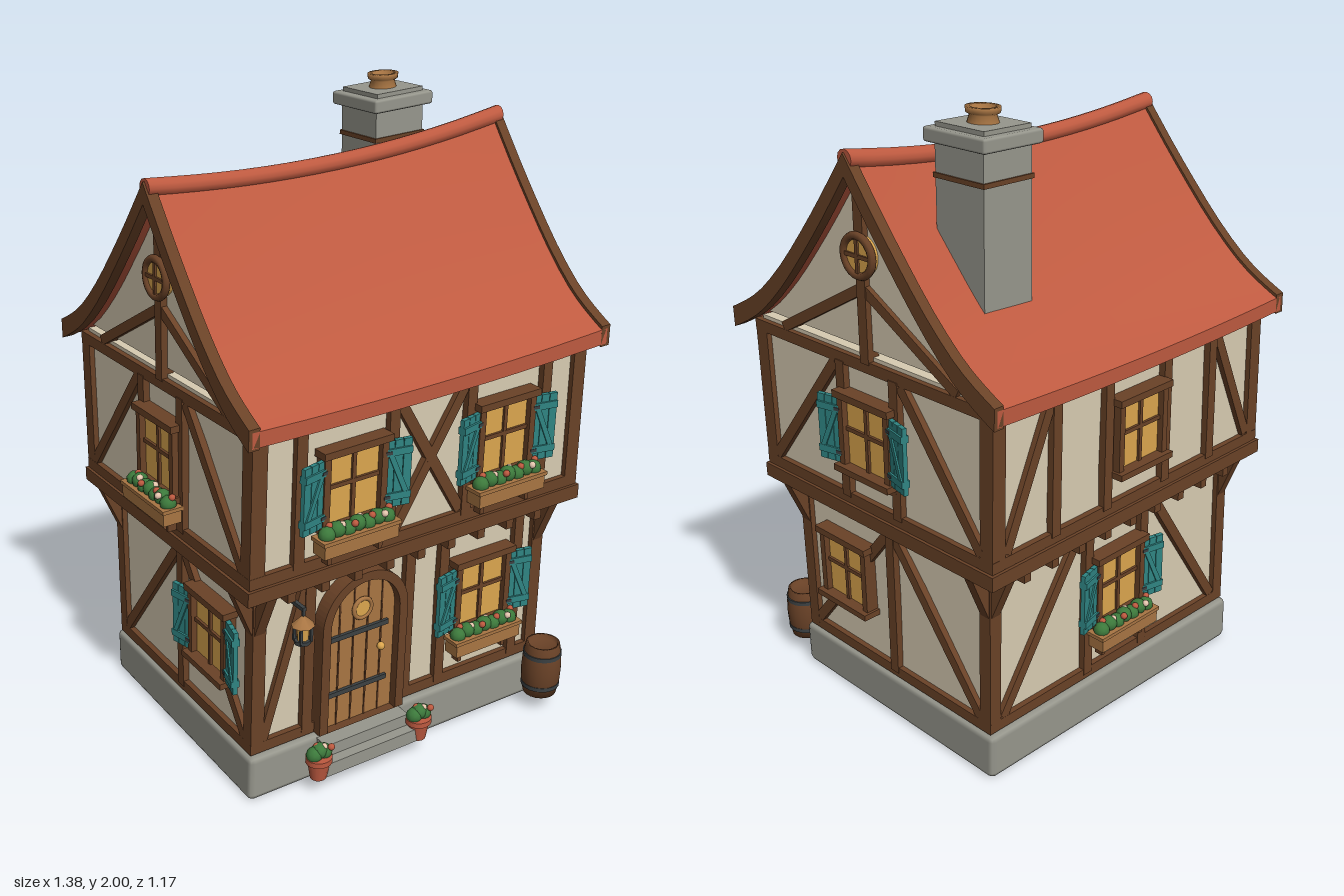
import * as THREE from 'three';
import { toCreasedNormals } from 'three/addons/utils/BufferGeometryUtils.js';
import { RoundedBoxGeometry } from 'three/addons/geometries/RoundedBoxGeometry.js';

const mat = (name, color) => Object.assign(new THREE.MeshStandardMaterial({ color }), { name });
const M = {
  plaster: mat('plaster', 0xd8ccb2), timber: mat('dark timber', 0x6a4227), roof: mat('red tile', 0xbe5a40),
  stone: mat('grey stone', 0x97978d), teal: mat('teal paint', 0x2f8583), glass: mat('warm glass', 0xdca64e),
  wood: mat('light wood', 0xa87543), leaf: mat('leaf green', 0x3d7a3c), iron: mat('iron', 0x3c4143),
  bloom: mat('cream petals', 0xe8c8b0),
};

function add(parent, name, geo, material, x = 0, y = 0, z = 0) {
  const m = new THREE.Mesh(geo, material);
  m.name = name;
  m.position.set(x, y, z);
  parent.add(m);
  return m;
}
const box = (p, name, material, w, h, d, x, y, z) => add(p, name, new THREE.BoxGeometry(w, h, d), material, x, y, z);
function group(parent, name, x = 0, y = 0, z = 0, ry = 0) {
  const g = new THREE.Group();
  g.name = name;
  g.position.set(x, y, z);
  g.rotation.y = ry;
  parent.add(g);
  return g;
}
// Timber laid on a wall between two points of the wall plane
function beam(p, x1, y1, x2, y2, w = 0.036, d = 0.04) {
  const m = box(p, 'timberBeam', M.timber, w, Math.hypot(x2 - x1, y2 - y1), d, (x1 + x2) / 2, (y1 + y2) / 2, 0);
  m.rotation.z = Math.atan2(x1 - x2, y2 - y1);
}

// Row of leaves and blossoms
function plants(p, width, n, y, z) {
  for (let i = 0; i < n; i++) {
    const x = n > 1 ? (i / (n - 1) - 0.5) * width : 0;
    add(p, 'leaves', new THREE.IcosahedronGeometry(0.026, 1), M.leaf, x, y + (i % 2) * 0.008, z);
    add(p, 'blossom', new THREE.IcosahedronGeometry(0.011, 1), i % 2 ? M.bloom : M.roof, x + 0.012, y + 0.022, z + 0.014 * (i % 3 - 0.5));
  }
}

// Window of 2 x 2 panes with optional shutters and flower box
function windowUnit(face, x, y, { shutters = false, flowers = false } = {}) {
  const g = group(face, 'window', x, y, 0), w = 0.19, h = 0.22;
  box(g, 'glass', M.glass, w, h, 0.03, 0, 0, 0.005);
  for (const s of [-1, 1]) box(g, 'jamb', M.timber, 0.022, h + 0.02, 0.06, s * (w / 2 + 0.005), 0, 0.01);
  box(g, 'lintel', M.timber, w + 0.05, 0.022, 0.07, 0, h / 2 + 0.01, 0.015);
  box(g, 'sill', M.timber, w + 0.05, 0.02, 0.08, 0, -h / 2 - 0.005, 0.018);
  box(g, 'mullion', M.timber, 0.013, h, 0.036, 0, 0, 0.01);
  box(g, 'transom', M.timber, w, 0.013, 0.036, 0, 0.01, 0.01);
  if (shutters) for (const s of [-1, 1]) {
    const sh = group(g, 'shutter', s * 0.148, -0.002, 0.036, -s * 0.22);
    for (const i of [-1, 0, 1]) box(sh, 'shutterPlank', M.teal, 0.026, 0.21, 0.014, i * 0.028, 0, 0);
    for (const b of [-0.07, 0.07]) {
      box(sh, 'shutterBatten', M.teal, 0.082, 0.022, 0.026, 0, b, 0);
      box(sh, 'shutterHinge', M.iron, 0.02, 0.01, 0.03, -s * 0.034, b, 0);
    }
    const z = box(sh, 'shutterBrace', M.teal, 0.016, 0.14, 0.02, 0, 0, 0.002);
    z.rotation.z = s * 0.4;
  }
  if (flowers) {
    box(g, 'flowerBox', M.wood, 0.26, 0.052, 0.06, 0, -0.158, 0.052);
    box(g, 'flowerBoxRim', M.wood, 0.272, 0.012, 0.068, 0, -0.136, 0.052);
    for (const s of [-1, 1]) box(g, 'flowerBoxBracket', M.timber, 0.014, 0.05, 0.03, s * 0.09, -0.2, 0.034);
    plants(g, 0.21, 7, -0.122, 0.052);
  }
}

// Half of the roof profile: distance from ridge, height
const PROFILE = new THREE.SplineCurve([[0, 1.85], [0.1, 1.715], [0.2, 1.59], [0.3, 1.475], [0.4, 1.38], [0.48, 1.325], [0.555, 1.285]]
  .map(([a, b]) => new THREE.Vector2(a, b))).getPoints(12);
const line = (dy, max = 9) => {
  const half = PROFILE.filter(p => p.x <= max);
  return [...half.slice(1).reverse().map(p => new THREE.Vector2(-p.x, p.y + dy)), ...half.map(p => new THREE.Vector2(p.x, p.y + dy))];
};
// Extrude a cross-section along x
function alongX(points, length, steps = 1) {
  const g = new THREE.ExtrudeGeometry(new THREE.Shape(points), { depth: length, steps, bevelEnabled: false });
  return g.translate(0, 0, -length / 2).rotateY(Math.PI / 2);
}
function sag(geo) {
  const p = geo.attributes.position;
  for (let i = 0; i < p.count; i++) {
    const x = p.getX(i), y = p.getY(i);
    p.setY(i, y - 0.045 * Math.max(0, 1 - (x / 0.65) ** 2) * (y - 1) / 0.85);
  }
  return toCreasedNormals(geo, 0.6);
}

// Gentle lean, twist and tilt that grow with height
function warp(root) {
  root.updateMatrixWorld(true);
  root.traverse(o => {
    if (!o.isMesh) return;
    o.geometry.applyMatrix4(o.matrixWorld);
    const p = o.geometry.attributes.position;
    for (let i = 0; i < p.count; i++) {
      const x = p.getX(i), y = p.getY(i), z = p.getZ(i), c = Math.cos(0.03 * y), s = Math.sin(0.03 * y);
      p.setXYZ(i, x * c + z * s + 0.022 * y - 0.0185, y + 0.042 * x * Math.max(0, (y - 0.7) / 1.15), z * c - x * s - 0.006);
    }
  });
  root.traverse(o => { o.position.set(0, 0, 0); o.rotation.set(0, 0, 0); });
}

export function createModel() {
  const house = new THREE.Group();
  house.name = 'timberFramedHouse';

  // Plinth and storeys
  add(house, 'stonePlinth', new RoundedBoxGeometry(1.135, 0.15, 0.91, 1, 0.018), M.stone, 0, 0.075, 0);
  box(house, 'groundWalls', M.plaster, 1.08, 0.6, 0.84, 0, 0.44, 0);
  box(house, 'upperWalls', M.plaster, 1.2, 0.52, 0.98, 0, 1.01, 0);
  box(house, 'sillBeam', M.timber, 1.115, 0.036, 0.875, 0, 0.172, 0);
  box(house, 'jettyBeam', M.timber, 1.25, 0.046, 1.03, 0, 0.743, 0);
  box(house, 'floorBeam', M.timber, 1.235, 0.036, 1.015, 0, 0.786, 0);
  box(house, 'topPlate', M.timber, 1.235, 0.036, 1.015, 0, 1.24, 0);
  for (const sx of [-1, 1]) for (const sz of [-1, 1]) {
    box(house, 'groundCornerPost', M.timber, 0.045, 0.56, 0.045, sx * 0.535, 0.44, sz * 0.415);
    box(house, 'upperCornerPost', M.timber, 0.05, 0.45, 0.05, sx * 0.592, 1.01, sz * 0.482);
  }

  // Wall faces: ground and upper planes for each side
  const G = {}, U = {};
  [['front', 0, 1, 0], ['right', 1, 0, Math.PI / 2], ['back', 0, -1, Math.PI], ['left', -1, 0, -Math.PI / 2]].forEach(([n, sx, sz, ry]) => {
    G[n] = group(house, n + 'GroundFace', sx * 0.54, 0, sz * 0.42, ry);
    U[n] = group(house, n + 'UpperFace', sx * 0.6, 0, sz * 0.49, ry);
    const hw = sz ? 0.535 : 0.415;
    for (const s of [-1, 1]) {
      const k = box(G[n], 'jettyBracket', M.timber, 0.035, 0.17, 0.035, s * hw, 0.645, 0.032);
      k.rotation.x = 0.4;
    }
    if (sz) for (let i = -4; i <= 4; i++) box(G[n], 'joistEnd', M.timber, 0.028, 0.042, 0.09, i * 0.117, 0.702, 0.035);
  });

  // Front timbers and windows
  for (const x of [-0.36, 0.01, 0.145, 0.45]) beam(G.front, x, 0.17, x, 0.73);
  beam(G.front, -0.515, 0.19, -0.375, 0.68, 0.03, 0.034);
  windowUnit(G.front, 0.295, 0.46, { shutters: true, flowers: true });
  for (const x of [-0.455, -0.135, 0.155, 0.455]) beam(U.front, x, 0.79, x, 1.23);
  beam(U.front, -0.115, 0.81, 0.135, 1.22, 0.034, 0.034);
  beam(U.front, 0.135, 0.81, -0.115, 1.22, 0.034, 0.031);
  for (const x of [-0.28, 0.285]) windowUnit(U.front, x, 1.015, { shutters: true, flowers: true });

  // Side and back timbers
  for (const n of ['right', 'left']) {
    beam(G[n], 0, 0.17, 0, 0.73);
    for (const s of [-1, 1]) {
      beam(G[n], s * 0.395, 0.19, s * 0.012, 0.67, 0.034, 0.034);
      beam(U[n], s * 0.46, 0.81, s * 0.14, 1.22, 0.034, 0.034);
      beam(U[n], s * 0.115, 0.79, s * 0.115, 1.23);
    }
    beam(U[n], -0.115, 0.88, 0.115, 0.88, 0.028);
  }
  for (const s of [-1, 1]) {
    beam(G.back, s * 0.13, 0.17, s * 0.13, 0.73);
    beam(G.back, s * 0.5, 0.19, s * 0.16, 0.71, 0.034, 0.034);
    for (const x of [0.135, 0.36]) beam(U.back, s * x, 0.79, s * x, 1.23);
    beam(U.back, s * 0.56, 0.81, s * 0.38, 1.22, 0.034, 0.034);
  }
  windowUnit(G.right, -0.21, 0.46);
  windowUnit(U.right, 0, 1.015, { shutters: true });
  windowUnit(G.left, 0.2, 0.46, { shutters: true });
  windowUnit(U.left, 0, 1.015, { flowers: true });
  windowUnit(G.back, 0, 0.46, { shutters: true, flowers: true });
  windowUnit(U.back, 0, 1.015);

  // Arched door
  const door = group(G.front, 'door', -0.175, 0.155, 0);
  const arch = (r, h) => new THREE.Shape().moveTo(-r, 0).lineTo(r, 0).lineTo(r, h).absarc(0, h, r, 0, Math.PI, false).lineTo(-r, 0);
  const ex = (shape, depth) => new THREE.ExtrudeGeometry(shape, { depth, bevelEnabled: false, curveSegments: 16 });
  const frame = arch(0.157, 0.363);
  frame.holes.push(arch(0.127, 0.363));
  add(door, 'doorFrame', ex(frame, 0.06), M.timber, 0, 0, -0.01);
  add(door, 'doorLeaf', ex(arch(0.13, 0.363), 0.03), M.wood, 0, 0, -0.01);
  for (const x of [-0.078, -0.026, 0.026, 0.078]) {
    const h = 0.363 + Math.sqrt(0.127 ** 2 - x * x);
    box(door, 'plankGap', M.timber, 0.005, h, 0.004, x, h / 2, 0.021);
  }
  for (const y of [0.115, 0.31]) box(door, 'strapHinge', M.iron, 0.225, 0.016, 0.012, -0.012, y, 0.024);
  add(door, 'doorPorthole', new THREE.CylinderGeometry(0.03, 0.03, 0.012, 20).rotateX(Math.PI / 2), M.glass, 0, 0.388, 0.024);
  add(door, 'portholeRing', new THREE.TorusGeometry(0.032, 0.007, 8, 20), M.wood, 0, 0.388, 0.028);
  add(door, 'doorKnob', new THREE.SphereGeometry(0.013, 12, 8), M.glass, 0.072, 0.235, 0.034);

  // Steps, flowerpots, barrel, lantern
  box(house, 'lowerStep', M.stone, 0.36, 0.045, 0.1, -0.175, 0.078, 0.49);
  box(house, 'upperStep', M.stone, 0.31, 0.04, 0.06, -0.175, 0.12, 0.475);
  for (const x of [-0.365, 0.01]) {
    const pot = group(house, 'flowerpot', x, 0.055, 0.52);
    add(pot, 'pot', new THREE.CylinderGeometry(0.036, 0.026, 0.06, 16), M.roof, 0, 0.03, 0);
    add(pot, 'potRim', new THREE.CylinderGeometry(0.042, 0.042, 0.018, 16), M.roof, 0, 0.065, 0);
    plants(pot, 0.035, 3, 0.085, 0);
  }
  const barrel = group(house, 'barrel', 0.51, 0.055, 0.53);
  add(barrel, 'barrelStaves', new THREE.LatheGeometry([[0, 0], [0.055, 0], [0.064, 0.05], [0.066, 0.09], [0.064, 0.13], [0.056, 0.18], [0.048, 0.18], [0.046, 0.165], [0, 0.165]]
    .map(([r, y]) => new THREE.Vector2(r, y)), 20), M.timber);
  for (const [y, r] of [[0.035, 0.062], [0.145, 0.062]]) add(barrel, 'barrelHoop', new THREE.CylinderGeometry(r + 0.002, r + 0.002, 0.014, 20), M.iron, 0, y, 0);
  const lamp = group(G.front, 'lantern', -0.43, 0.54, 0.085);
  box(lamp, 'lanternArm', M.iron, 0.012, 0.012, 0.09, 0, 0.11, -0.04);
  box(lamp, 'lanternHook', M.iron, 0.008, 0.03, 0.008, 0, 0.098, 0);
  add(lamp, 'lanternCap', new THREE.ConeGeometry(0.036, 0.035, 8), M.wood, 0, 0.075, 0);
  add(lamp, 'lanternGlass', new THREE.CylinderGeometry(0.02, 0.017, 0.05, 8), M.glass, 0, 0.034, 0);
  for (let a = 0; a < 4; a++) box(lamp, 'lanternBar', M.iron, 0.008, 0.056, 0.008, a % 2 ? 0.018 : -0.018, 0.034, a > 1 ? 0.018 : -0.018);
  add(lamp, 'lanternBase', new THREE.CylinderGeometry(0.026, 0.026, 0.012, 8), M.iron, 0, 0.005, 0);

  // Sagging roof, ridge and verge boards
  add(house, 'roof', sag(alongX([...line(0), ...line(-0.048).reverse()], 1.3, 16)), M.roof);
  const ridge = new THREE.CylinderGeometry(0.028, 0.028, 1.31, 12, 16).rotateZ(Math.PI / 2).translate(0, 1.842, 0);
  add(house, 'ridgeCap', sag(ridge), M.roof);
  for (const s of [-1, 1]) {
    add(house, 'vergeBoard', toCreasedNormals(alongX([...line(0.01), ...line(-0.055).reverse()], 0.035), 0.6), M.timber, s * 0.644, 0, 0);
    // Gable with king post, struts and round window
    add(house, 'gableWall', alongX([...line(-0.035, 0.49)], 0.04), M.plaster, s * 0.58, 0, 0);
    const g = group(house, 'gableFrame', s * 0.6, 0, 0, s * Math.PI / 2);
    beam(g, 0, 1.25, 0, 1.77);
    for (const k of [-1, 1]) beam(g, k * 0.37, 1.265, k * 0.01, 1.47, 0.032, 0.034);
    add(g, 'roundGlass', new THREE.CylinderGeometry(0.058, 0.058, 0.05, 24).rotateX(Math.PI / 2), M.glass, 0, 1.57, 0);
    add(g, 'roundFrame', new THREE.TorusGeometry(0.058, 0.012, 8, 24), M.timber, 0, 1.57, 0.024);
    box(g, 'roundMullion', M.timber, 0.012, 0.11, 0.01, 0, 1.57, 0.026);
    box(g, 'roundTransom', M.timber, 0.11, 0.012, 0.01, 0, 1.57, 0.026);
  }

  // Chimney
  const ch = group(house, 'chimney', 0.36, 0, -0.23);
  box(ch, 'chimneyShaft', M.stone, 0.19, 0.53, 0.18, 0, 1.625, 0);
  box(ch, 'chimneyBand', M.timber, 0.2, 0.014, 0.19, 0, 1.795, 0);
  add(ch, 'chimneyCap', new RoundedBoxGeometry(0.235, 0.042, 0.23, 1, 0.008), M.stone, 0, 1.905, 0);
  box(ch, 'chimneyCapStep', M.stone, 0.185, 0.016, 0.18, 0, 1.931, 0);
  add(ch, 'chimneyPot', new THREE.LatheGeometry([[0.046, 1.935], [0.038, 1.96], [0.048, 1.966], [0.05, 1.982], [0.036, 1.982], [0.032, 1.95], [0, 1.95]]
    .map(([r, y]) => new THREE.Vector2(r, y)), 20), M.wood);

  warp(house);
  return house;
}
